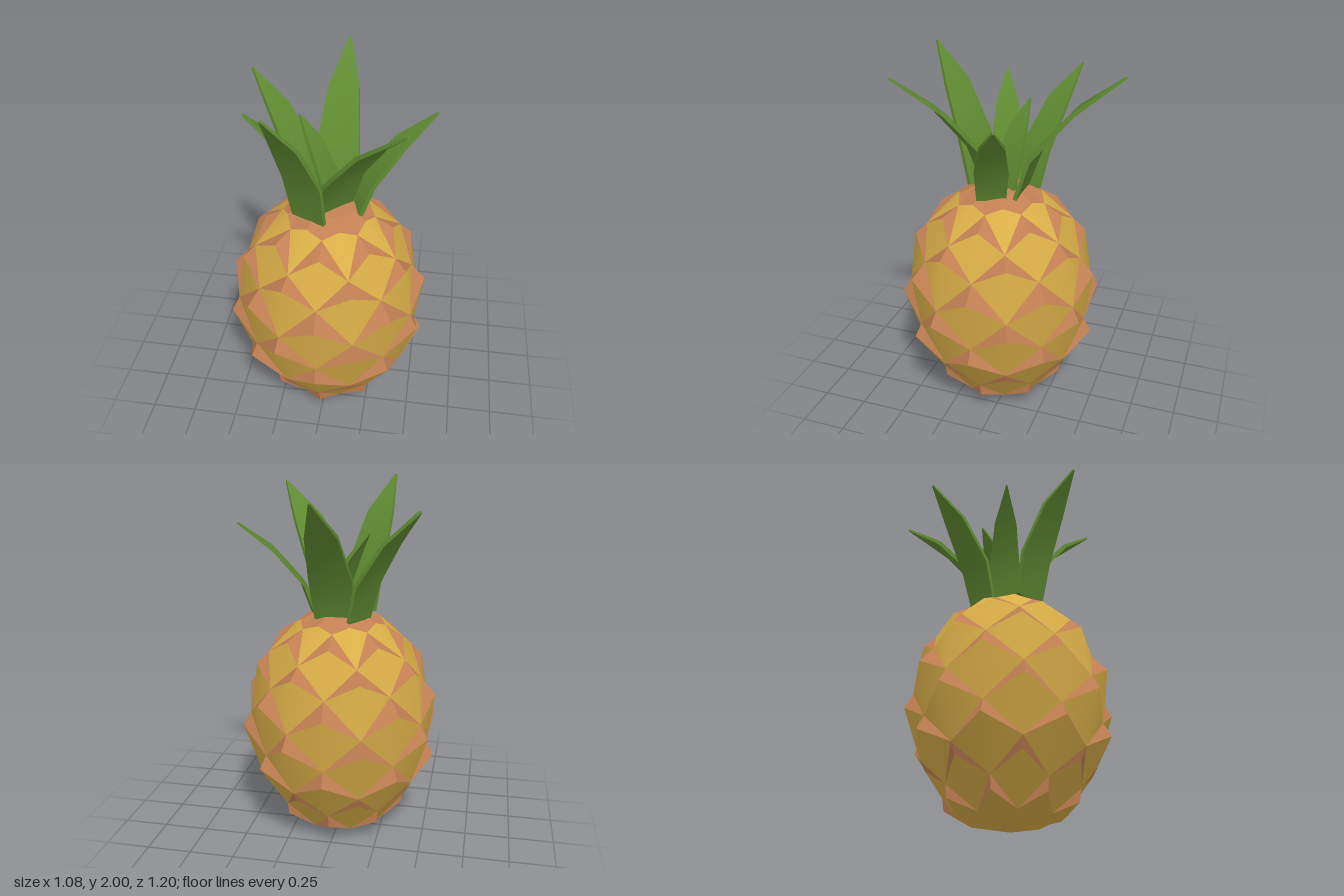
import * as THREE from 'three';

const rind = new THREE.MeshStandardMaterial({ color: 0xd9ae48 });
rind.name = 'yellowRind';
const ledge = new THREE.MeshStandardMaterial({ color: 0xc28053 });
ledge.name = 'brownLedge';
const green = new THREE.MeshStandardMaterial({ color: 0x5f8a31 });
green.name = 'leafGreen';

const COUNT = 8;
const STEP = Math.PI / COUNT; // half the spacing between scales in a row

// Protruding tip of the scales in each row: [height, radius]
const tips = [[0.13, 0.36], [0.30, 0.44], [0.46, 0.54], [0.645, 0.565],
  [0.83, 0.54], [1.01, 0.476], [1.16, 0.35], [1.25, 0.225], [1.3, 0]];
// Sunken side corners of the scales in each row
const corners = [[0.06, 0.26], [0.2, 0.37], [0.36, 0.47], [0.535, 0.5],
  [0.725, 0.52], [0.92, 0.46], [1.075, 0.41], [1.22, 0.25], [1.285, 0.15]];

const polar = ([y, r], a) => [r * Math.cos(a), y, r * Math.sin(a)];

function surface(name, points, index, material) {
  let geometry = new THREE.BufferGeometry();
  geometry.setAttribute('position', new THREE.Float32BufferAttribute(points.flat(), 3));
  geometry.setIndex(index);
  if (material === ledge) geometry = geometry.toNonIndexed();
  geometry.computeVertexNormals();
  const mesh = new THREE.Mesh(geometry, material);
  mesh.name = name;
  return mesh;
}

// Fruit: rows of interlocking kite scales, each with a ledge above its tip
function createFruit() {
  const fruit = new THREE.Group();
  fruit.name = 'fruit';
  const scales = { points: [], index: [] };
  const ledges = { points: [], index: [] };
  const addKite = (set, top, left, bottom, right, faces) => {
    const n = set.points.length;
    set.points.push(top, left, bottom, right);
    set.index.push(...faces.map((i) => i + n));
  };
  tips.forEach((tip, k) => {
    const crown = k === tips.length - 1;
    for (let i = 0; i < COUNT; i++) {
      const a = (2 * i + (k % 2)) * STEP;
      const top = polar(tip, a);
      const left = polar(corners[k], a + STEP);
      const right = polar(corners[k], a - STEP);
      const bottom = polar(k ? corners[k - 1] : [0, 0], a);
      addKite(crown ? ledges : scales, top, left, bottom, right,
        crown ? [0, 1, 3, 1, 2, 3] : [0, 1, 2, 0, 2, 3]);
      if (!crown) {
        addKite(ledges, polar(corners[k + 1], a), left, top, right, [0, 1, 2, 0, 2, 3]);
      }
    }
  });
  fruit.add(surface('scales', scales.points, scales.index, rind));
  fruit.add(surface('scaleLedges', ledges.points, ledges.index, ledge));
  fruit.position.z = 0.06;
  return fruit;
}

// Leaf: a thin box bent outward from its base to a pointed tip
function createLeaf(name, base, tip, width) {
  const out = [0, 0.15, 0.55, 1];
  const rise = [0, 0.34, 0.72, 1];
  const wide = [0.88, 1, 0.72, 0.03];
  const start = new THREE.Vector3(base[0], 1.27, base[1]);
  const end = new THREE.Vector3(...tip);
  const up = new THREE.Vector3(0, 1, 0);
  const dir = end.clone().sub(start).setY(0);
  const reach = dir.length();
  dir.normalize();
  const side = up.clone().cross(dir);
  const height = end.y - start.y;

  const geometry = new THREE.BoxGeometry(1, 3, 1, 1, 3, 1);
  const pos = geometry.attributes.position;
  const p = new THREE.Vector3();
  for (let i = 0; i < pos.count; i++) {
    const j = Math.round(pos.getY(i) + 1.5);
    const lo = Math.max(j - 1, 0);
    const hi = Math.min(j + 1, 3);
    const du = (out[hi] - out[lo]) * reach;
    const dv = (rise[hi] - rise[lo]) * height;
    const t = pos.getZ(i) * (j === 3 ? 0.012 : 0.022) / Math.hypot(du, dv);
    p.copy(start)
      .addScaledVector(dir, out[j] * reach + dv * t)
      .addScaledVector(up, rise[j] * height - du * t)
      .addScaledVector(side, pos.getX(i) * wide[j] * width);
    pos.setXYZ(i, p.x, p.y, p.z);
  }
  geometry.computeVertexNormals();
  const mesh = new THREE.Mesh(geometry, green);
  mesh.name = name;
  return mesh;
}

export function createModel() {
  const model = new THREE.Group();
  model.name = 'pineapple';
  model.add(createFruit());

  const leaves = new THREE.Group();
  leaves.name = 'leafCrown';
  // name, base [x, z], tip [x, y, z], width
  [
    ['backLeaf', [0.018, -0.06], [0.02, 1.95, -0.595], 0.235],
    ['backRightLeaf', [-0.12, -0.06], [-0.455, 1.88, -0.26], 0.2],
    ['rightLeaf', [-0.1, 0.06], [-0.41, 1.83, 0.16], 0.17],
    ['frontRightLeaf', [-0.085, 0.2], [-0.235, 1.995, 0.51], 0.23],
    ['frontLeftLeaf', [0.03, 0.1], [0.41, 1.95, 0.475], 0.26],
    ['leftLeaf', [0.15, 0.06], [0.53, 1.78, -0.095], 0.18],
    ['innerLeaf', [0.015, 0.03], [-0.17, 1.74, -0.05], 0.155],
  ].forEach((leaf) => leaves.add(createLeaf(...leaf)));
  model.add(leaves);
  return model;
}
